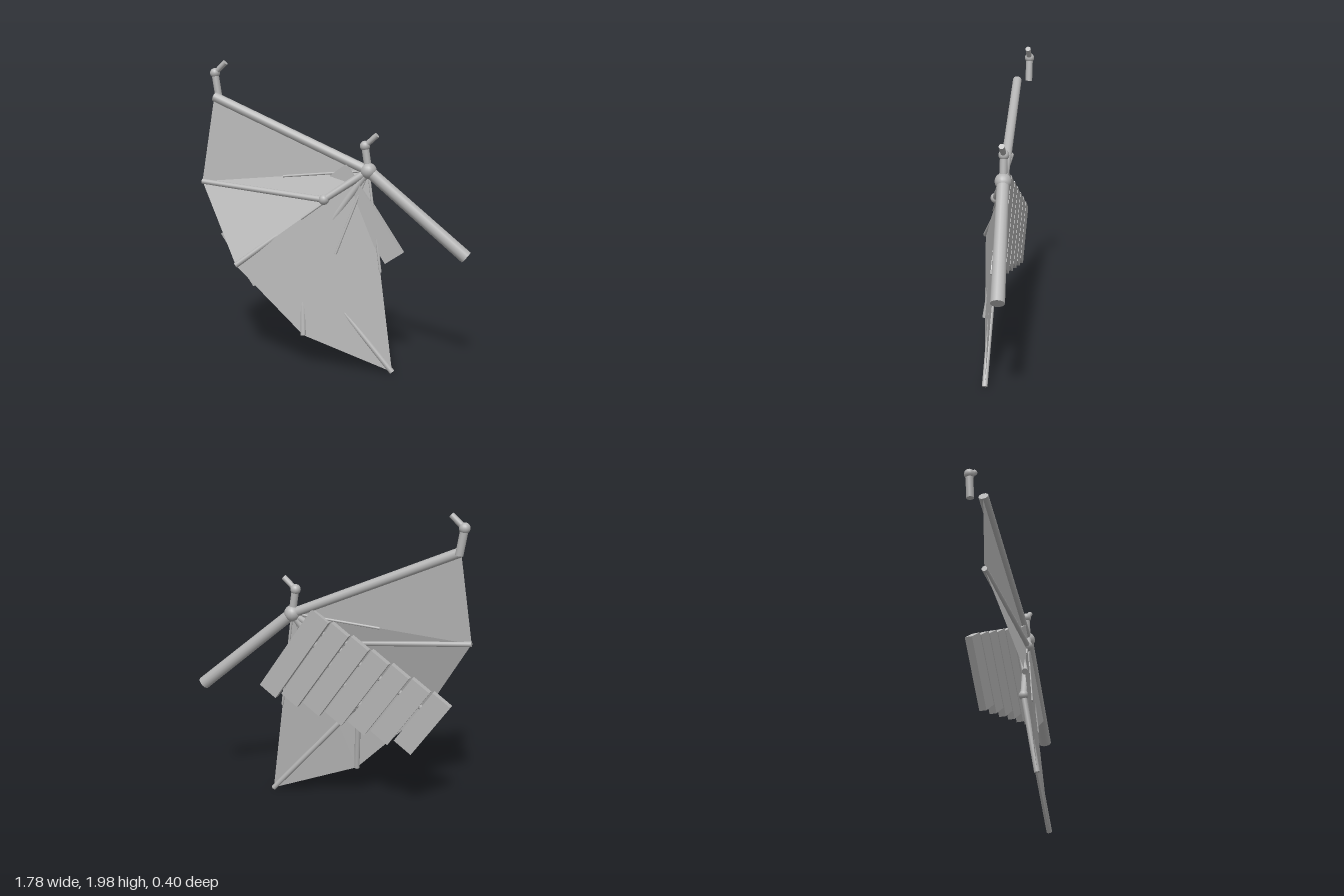
import * as THREE from 'three';

export function createModel() {
  const wing = new THREE.Group();
  wing.name = 'wing';
  const grey = new THREE.MeshStandardMaterial({ color: 0xb4b4b4 });
  grey.name = 'plain grey';
  const skinGrey = new THREE.MeshStandardMaterial({ color: 0xb4b4b4, side: THREE.DoubleSide });
  skinGrey.name = 'skin grey';
  const V = (x, y, z) => new THREE.Vector3(x, y, z);

  function add(name, geometry, material = grey) {
    const mesh = new THREE.Mesh(geometry, material);
    mesh.name = name;
    wing.add(mesh);
    return mesh;
  }

  // Round bar between two points
  function bone(name, a, b, rA, rB = rA) {
    const dir = b.clone().sub(a);
    const mesh = add(name, new THREE.CylinderGeometry(rB, rA, dir.length(), 14));
    mesh.position.copy(a).add(b).multiplyScalar(0.5);
    mesh.quaternion.setFromUnitVectors(V(0, 1, 0), dir.normalize());
  }

  function joint(name, p, r) {
    add(name, new THREE.SphereGeometry(r, 16, 12)).position.copy(p);
  }

  const hub = V(0.24, 1.31, -0.08);
  const wrist = V(-0.81, 1.76, 0);
  const tips = [V(-0.89, 1.2, 0.05), V(-0.58, 0.68, 0.185), V(-0.135, 0.235, 0.108), V(0.44, 0.025, 0)];

  // Arm bones
  joint('hubJoint', hub, 0.052);
  bone('upperArm', hub, V(0.865, 0.785, -0.157), 0.038, 0.042);
  bone('forearm', hub, wrist, 0.031);

  // Fingers, bent at two knuckles
  const knuckle = V(-0.028, 1.123, 0.013);
  const lowKnuckle = V(-0.17, 0.72, 0.035);
  joint('upperKnuckle', knuckle, 0.034);
  joint('lowerKnuckle', lowKnuckle, 0.03);
  bone('fingerBase', hub, knuckle, 0.026, 0.022);
  bone('lowerFingerBase', hub, lowKnuckle, 0.024, 0.02);
  bone('fingerOne', knuckle, tips[0], 0.02, 0.017);
  bone('fingerTwo', V(-0.03, 1.11, -0.035), tips[1], 0.018);
  bone('fingerThree', lowKnuckle, tips[2], 0.018);
  bone('fingerFour', lowKnuckle, tips[3], 0.018);

  // Thin struts lying along the skin, half way to each tip
  tips.forEach((tip) => bone('strut', hub, hub.clone().lerp(tip, 0.5), 0.008));

  // Skin: a fan of flat panels from the hub
  const rim = [V(-0.815, 1.75, 0), ...tips];
  for (let i = 0; i < rim.length - 1; i++) {
    const panel = new THREE.BufferGeometry().setFromPoints([hub, rim[i], rim[i + 1]]);
    panel.computeVertexNormals();
    add('skinPanel', panel, skinGrey);
  }

  // Claws: post, ball and bent tip
  for (const [x, y] of [[0.24, 1.31], [-0.823, 1.755]]) {
    const ball = V(x - 0.025, y + 0.157, -0.08);
    bone('clawPost', V(x, y, -0.08), ball, 0.024);
    joint('clawBall', ball, 0.033);
    bone('clawTip', ball, V(x + 0.055, y + 0.228, -0.08), 0.018);
  }

  // Slanted feather plates, longer towards the hub
  for (let i = 0; i < 7; i++) {
    const t = i / 6;
    const plate = add('featherPlate', new THREE.BoxGeometry(0.138, 0.424 + 0.243 * t, 0.043));
    plate.position.set(-0.635 + 0.87 * t, 0.693 + 0.344 * t, -0.067);
    plate.rotation.z = 0.605;
  }

  return wing;
}
